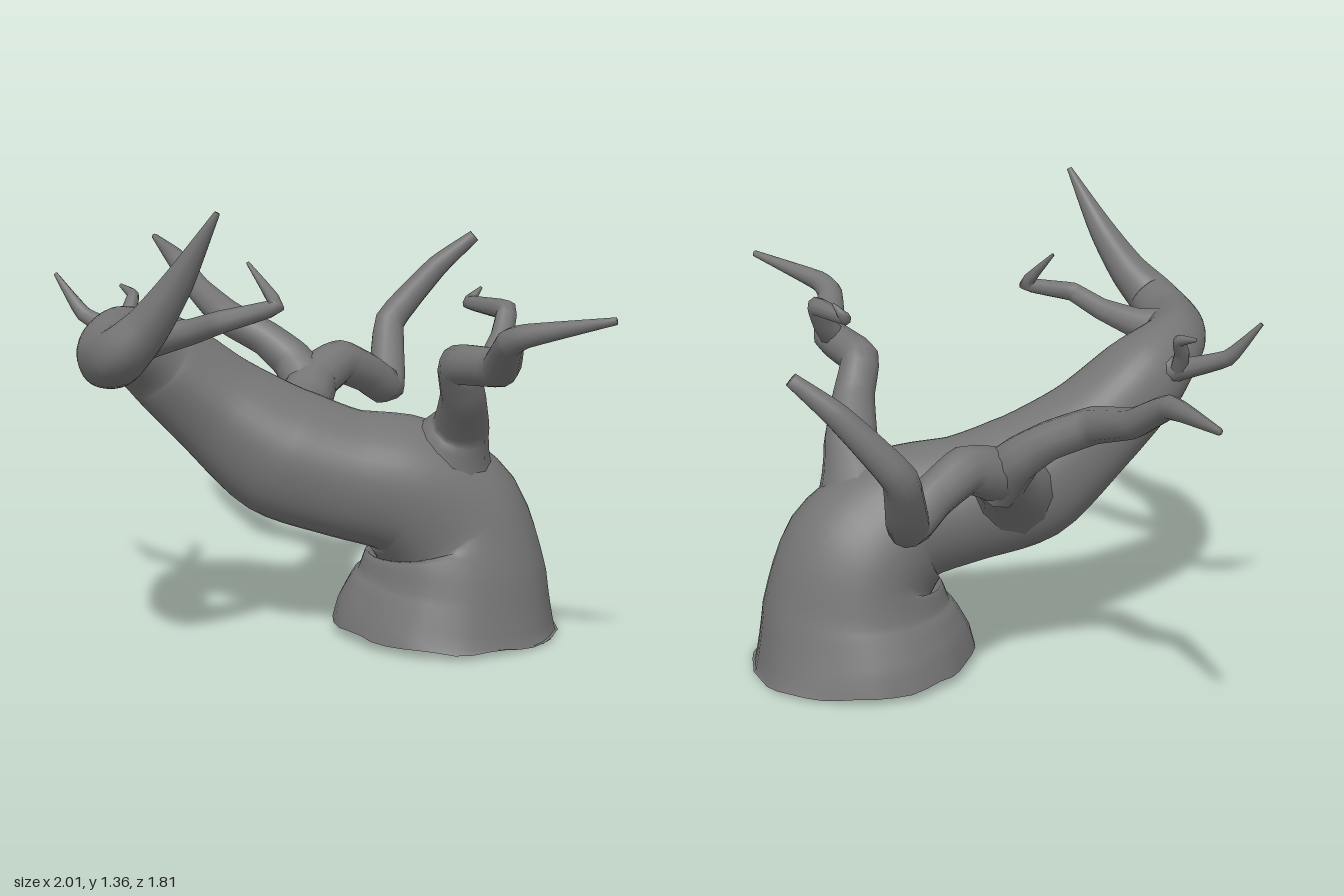
import * as THREE from 'three';

const bark = new THREE.MeshStandardMaterial({ color: 0x757575, side: THREE.DoubleSide });

// Tapered limb swept along points [x, y, z, radius]; shape(angle, t) scales the radius
function limb(name, pts, { sides = 10, steps = 4, tension = 0.2, shape = () => 1 } = {}) {
  const path = new THREE.CatmullRomCurve3(
    pts.map(p => new THREE.Vector3(p[0], p[1], p[2])), false, 'catmullrom', tension);
  const width = new THREE.CatmullRomCurve3(
    pts.map(p => new THREE.Vector3(p[3], 0, 0)), false, 'catmullrom', tension);
  const rings = (pts.length - 1) * steps;
  const pos = [], idx = [];
  const normal = new THREE.Vector3(0, 0, 1), binormal = new THREE.Vector3();
  for (let i = 0; i <= rings; i++) {
    const t = i / rings;
    const c = path.getPoint(t), tangent = path.getTangent(t);
    const r = Math.max(0.004, width.getPoint(t).x);
    // carry the frame along the path without twisting
    normal.addScaledVector(tangent, -normal.dot(tangent)).normalize();
    binormal.crossVectors(tangent, normal);
    for (let j = 0; j < sides; j++) {
      const a = j / sides * Math.PI * 2, k = r * shape(a, t);
      const p = c.clone().addScaledVector(normal, Math.cos(a) * k)
        .addScaledVector(binormal, Math.sin(a) * k);
      pos.push(p.x, p.y, p.z);
      if (i < rings) {
        const n = (j + 1) % sides, o = i * sides;
        idx.push(o + j, o + n, o + sides + j, o + n, o + sides + n, o + sides + j);
      }
    }
  }
  // tip
  const end = path.getPoint(1), tip = pos.length / 3;
  pos.push(end.x, end.y, end.z);
  for (let j = 0; j < sides; j++) idx.push(tip, rings * sides + j, rings * sides + (j + 1) % sides);
  return skin(name, pos, idx);
}

function skin(name, pos, idx) {
  const geo = new THREE.BufferGeometry();
  geo.setAttribute('position', new THREE.Float32BufferAttribute(pos, 3));
  geo.setIndex(idx);
  geo.computeVertexNormals();
  const mesh = new THREE.Mesh(geo, bark);
  mesh.name = name;
  return mesh;
}

// Underside closing the first ring of the trunk
function underside(trunk, sides) {
  const src = trunk.geometry.attributes.position;
  const pos = [0.3, 0.03, -0.18], idx = [];
  for (let j = 0; j < sides; j++) {
    pos.push(src.getX(j), src.getY(j), src.getZ(j));
    idx.push(0, 1 + (j + 1) % sides, 1 + j);
  }
  return skin('trunkUnderside', pos, idx);
}

export function createModel() {
  const group = new THREE.Group();
  group.name = 'twistedTree';

  // Bent trunk with shallow bark ridges, strongest at the foot
  const sides = 40;
  const trunk = limb('trunk', [
    [0.30, 0.02, -0.185, 0.342], [0.32, 0.19, -0.188, 0.284], [0.30, 0.34, -0.175, 0.245],
    [0.205, 0.455, -0.08, 0.212], [0.05, 0.50, 0.02, 0.193], [-0.12, 0.57, 0.10, 0.197],
    [-0.28, 0.715, 0.20, 0.158], [-0.40, 0.86, 0.31, 0.135], [-0.437, 0.93, 0.45, 0.1],
    [-0.40, 0.94, 0.58, 0.09], [-0.33, 0.935, 0.71, 0.088], [-0.225, 0.97, 0.825, 0.076],
    [-0.14, 1.05, 0.825, 0.06], [-0.045, 1.175, 0.825, 0.041], [0.08, 1.36, 0.845, 0.008],
  ], {
    sides, steps: 5, tension: 0.38,
    shape: (a, t) => 1 + 0.012 * Math.sin(5 * a + 9 * t)
      + 0.012 * Math.exp(-t * 12) * Math.sin(11 * a + 2 * Math.sin(3 * a)),
  });
  // Uneven, slightly tilted foot
  const p = trunk.geometry.attributes.position;
  for (let j = 0; j < sides; j++) {
    const a = j / sides * Math.PI * 2;
    p.setY(j, 0.021 - 0.035 * (p.getX(j) - 0.3) + 0.022 * (p.getZ(j) + 0.18) + 0.004 * Math.sin(9 * a));
  }
  trunk.geometry.computeVertexNormals();
  group.add(trunk, underside(trunk, sides));

  // Left branch and its hooked twig
  group.add(limb('leftBranch', [
    [0.29, 0.47, -0.13, 0.19], [0.345, 0.585, -0.105, 0.122], [0.385, 0.66, -0.08, 0.084],
    [0.43, 0.77, 0.02, 0.066], [0.445, 0.87, 0.09, 0.06], [0.61, 0.895, 0.20, 0.055],
    [0.69, 0.99, 0.34, 0.04], [0.75, 1.02, 0.37, 0.032], [1.0, 1.08, 0.39, 0.01],
  ], { sides: 12 }));
  group.add(limb('leftTwig', [
    [0.57, 0.89, 0.17, 0.042], [0.575, 0.96, 0.10, 0.034], [0.57, 1.03, 0.05, 0.03],
    [0.42, 1.03, -0.04, 0.02], [0.455, 1.075, -0.05, 0.004],
  ], { sides: 8, tension: 0.08 }));

  // Back branch, forking into a rear and a right arm
  group.add(limb('backBranch', [
    [-0.10, 0.54, 0.05, 0.17], [-0.15, 0.60, -0.07, 0.12], [-0.18, 0.65, -0.18, 0.088],
    [-0.195, 0.71, -0.29, 0.078], [-0.16, 0.752, -0.40, 0.068], [-0.115, 0.70, -0.51, 0.063],
    [-0.09, 0.645, -0.61, 0.062], [-0.14, 0.83, -0.75, 0.05], [-0.01, 1.01, -0.84, 0.036],
    [0.10, 1.11, -0.89, 0.02],
  ], { sides: 12 }));
  group.add(limb('rightArm', [
    [-0.18, 0.67, -0.25, 0.085], [-0.27, 0.765, -0.285, 0.066], [-0.36, 0.83, -0.28, 0.056],
    [-0.49, 0.89, -0.27, 0.053], [-0.65, 0.95, -0.38, 0.042], [-0.78, 1.035, -0.46, 0.033],
    [-1.0, 1.07, -0.70, 0.01],
  ]));

  // Small twigs near the crown
  group.add(limb('crownTwig', [
    [-0.42, 0.89, 0.30, 0.075], [-0.53, 0.91, 0.28, 0.034], [-0.68, 0.965, 0.275, 0.024],
    [-0.78, 1.08, 0.27, 0.006],
  ], { sides: 8 }));
  group.add(limb('crownTwigFork', [
    [-0.53, 0.91, 0.275, 0.028], [-0.55, 0.97, 0.24, 0.023], [-0.555, 1.02, 0.20, 0.018],
    [-0.62, 1.04, 0.16, 0.006],
  ], { sides: 8 }));
  group.add(limb('innerTwig', [
    [-0.39, 0.94, 0.56, 0.08], [-0.29, 0.96, 0.535, 0.05], [-0.17, 0.99, 0.54, 0.036],
    [-0.06, 1.03, 0.56, 0.031], [0.055, 1.065, 0.46, 0.022], [-0.05, 1.175, 0.43, 0.005],
  ], { sides: 8, tension: 0.12 }));

  return group;
}
